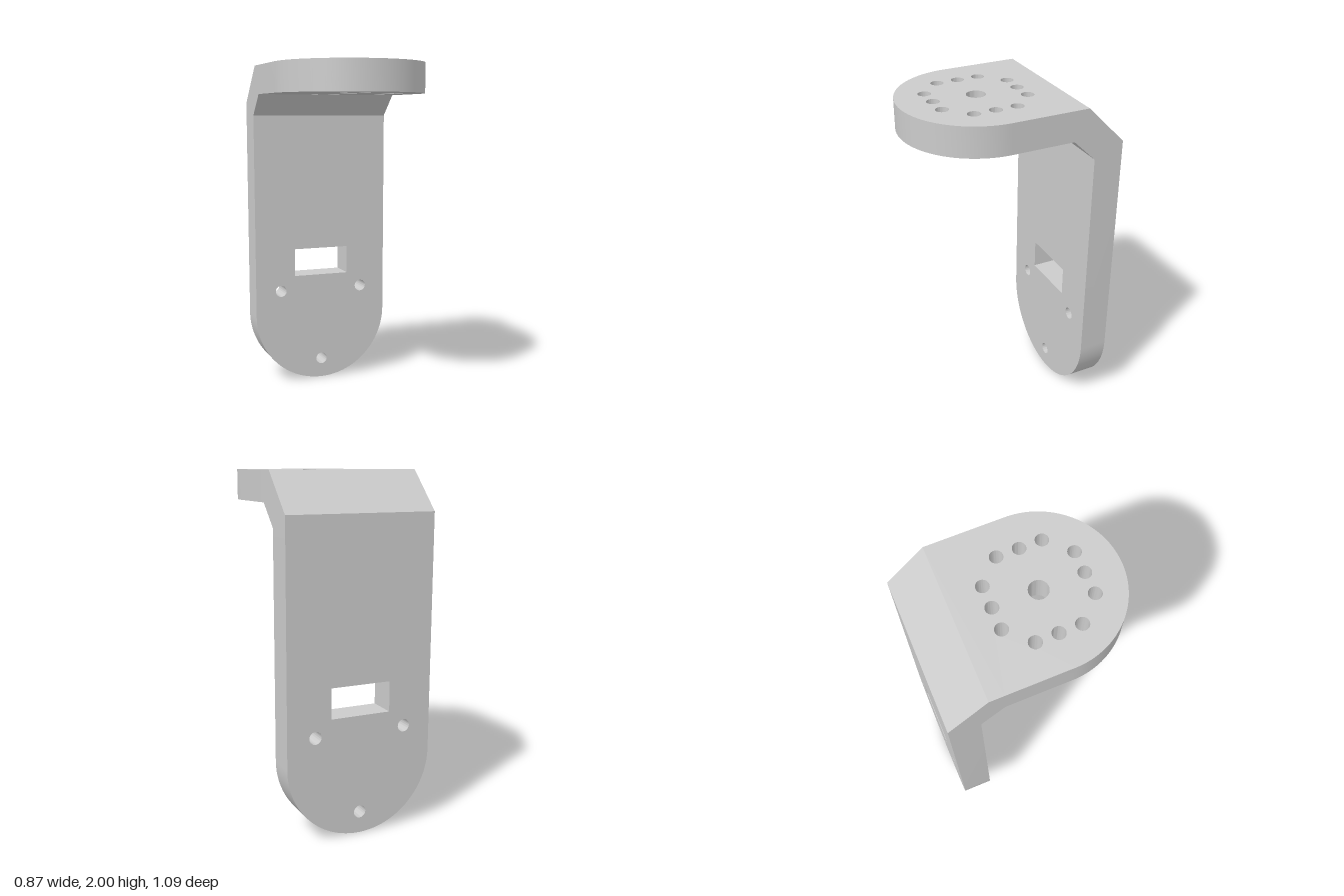
import * as THREE from 'three';
import { toCreasedNormals } from 'three/addons/utils/BufferGeometryUtils.js';

const R = 0.434;   // half width and radius of the rounded ends
const T = 0.17;    // plate thickness
const BACK = -0.545, TOP = 2, HOLE = 0.036;

const material = new THREE.MeshStandardMaterial({ color: 0xcccccc });

function roundHole(x, y, r) {
  return new THREE.Path().absarc(x, y, r, 0, Math.PI * 2, true);
}

function solid(name, shape, depth) {
  const geometry = new THREE.ExtrudeGeometry(shape, { depth, bevelEnabled: false, curveSegments: 40 });
  const mesh = new THREE.Mesh(toCreasedNormals(geometry, 0.5), material);
  mesh.name = name;
  return mesh;
}

// Plate with a half-round end centred on the origin and a square end at y = length
function plate(name, length, holes) {
  const shape = new THREE.Shape();
  shape.moveTo(R, length);
  shape.lineTo(-R, length);
  shape.lineTo(-R, 0);
  shape.absarc(0, 0, R, Math.PI, Math.PI * 2, false);
  shape.holes.push(...holes);
  return solid(name, shape, T);
}

export function createModel() {
  const group = new THREE.Group();
  group.name = 'angleBracket';

  // Upright plate: three screw holes and a rectangular slot
  const slot = new THREE.Path([
    [-0.177, 0.253], [-0.177, 0.427], [0.177, 0.427], [0.177, 0.253],
  ].map(([x, y]) => new THREE.Vector2(x, y)));
  slot.closePath();
  const upright = plate('uprightPlate', 1.705 - R, [
    slot,
    roundHole(-0.27, 0.16, HOLE),
    roundHole(0.27, 0.16, HOLE),
    roundHole(0, -0.31, HOLE),
  ]);
  upright.position.set(0, R, BACK);

  // Top plate: centre hole inside a square ring of twelve holes
  const ring = [roundHole(0, 0, 0.053)];
  for (const side of [-0.244, 0.244]) {
    for (const along of [-0.122, 0, 0.122]) {
      ring.push(roundHole(along, side, HOLE), roundHole(side, along, HOLE));
    }
  }
  const top = plate('topPlate', 0.356, ring);
  top.rotation.x = -Math.PI / 2;
  top.position.set(0, TOP - T, 0.111);

  // Chamfered bend joining the plates, drawn as a z-y profile
  const profile = new THREE.Shape([
    [-0.245, TOP - T], [-0.245, TOP], [-0.325, TOP],
    [BACK, 1.78], [BACK, 1.705], [BACK + T, 1.705],
  ].map(([z, y]) => new THREE.Vector2(z, y)));
  const bend = solid('chamferedBend', profile, 2 * R);
  bend.rotation.y = -Math.PI / 2;
  bend.position.x = R;

  group.add(upright, top, bend);
  return group;
}
